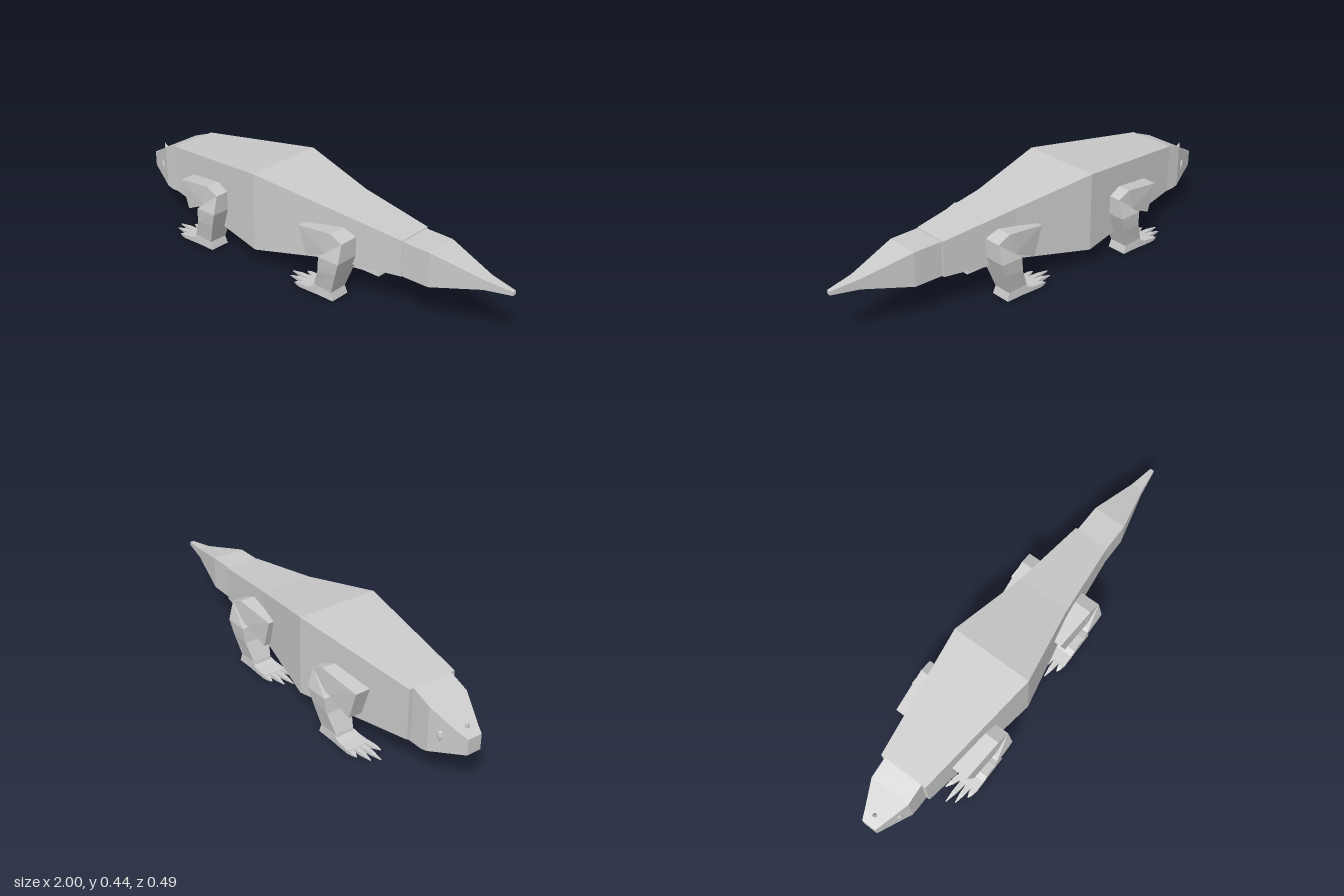
import * as THREE from 'three';

const material = new THREE.MeshStandardMaterial({ color: 0xcccccc, flatShading: true });

// Skin a list of four-cornered rings and cap both ends, faces outward
function loft(name, rings) {
  const tris = [];
  const quad = (a, b, c, d) => tris.push([a, b, c], [a, c, d]);
  for (let i = 0; i < rings.length - 1; i++) {
    for (let k = 0; k < 4; k++) {
      const n = (k + 1) % 4;
      quad(rings[i][k], rings[i][n], rings[i + 1][n], rings[i + 1][k]);
    }
  }
  quad(...[...rings[0]].reverse());
  quad(...rings[rings.length - 1]);
  // Signed volume tells whether the winding must be turned round
  let volume = 0;
  for (const [a, b, c] of tris) {
    volume += a.clone().sub(rings[0][0]).dot(
      b.clone().sub(rings[0][0]).cross(c.clone().sub(rings[0][0])));
  }
  if (volume < 0) tris.forEach((t) => t.reverse());
  const geometry = new THREE.BufferGeometry().setFromPoints(tris.flat());
  geometry.computeVertexNormals();
  const mesh = new THREE.Mesh(geometry, material);
  mesh.name = name;
  return mesh;
}

// Upright rectangular section: x, bottom, top, half width
const section = ([x, lo, hi, w, z = 0]) => [
  new THREE.Vector3(x, lo, z - w), new THREE.Vector3(x, hi, z - w),
  new THREE.Vector3(x, hi, z + w), new THREE.Vector3(x, lo, z + w),
];

// Limb section: back/top point, front/bottom point, inner and outer z
const slab = (ax, ay, bx, by, zi, zo) => [
  new THREE.Vector3(ax, ay, zi), new THREE.Vector3(ax, ay, zo),
  new THREE.Vector3(bx, by, zo), new THREE.Vector3(bx, by, zi),
];

function makeLeg(name, dx, dz, side) {
  const leg = new THREE.Group();
  leg.name = name;
  const place = (rings) => rings.map((r) => r.map(
    (p) => new THREE.Vector3(p.x + dx, p.y, (p.z + dz) * side)));
  const add = (part, rings) => leg.add(loft(part, place(rings)));

  add('upperLeg', [
    slab(-0.62, 0.28, -0.58, 0.15, 0.13, 0.205),
    slab(-0.43, 0.31, -0.46, 0.21, 0.14, 0.222),
    slab(-0.37, 0.285, -0.46, 0.21, 0.13, 0.225),
    slab(-0.37, 0.2, -0.475, 0.2, 0.12, 0.247),
  ]);
  add('lowerLeg', [
    slab(-0.37, 0.2, -0.475, 0.2, 0.12, 0.247),
    slab(-0.39, 0.14, -0.485, 0.13, 0.12, 0.24),
    slab(-0.425, 0.04, -0.52, 0.045, 0.135, 0.222),
    slab(-0.415, 0.004, -0.53, 0.004, 0.13, 0.225),
  ]);
  add('foot', [
    section([-0.5, 0.003, 0.04, 0.046, 0.178]),
    section([-0.55, 0.002, 0.022, 0.052, 0.174]),
    section([-0.605, 0, 0.016, 0.055, 0.17]),
  ]);
  // Four splayed, pointed toes
  const toes = [[0.128, -0.66, 0.105], [0.156, -0.71, 0.145],
    [0.184, -0.69, 0.18], [0.212, -0.64, 0.21]];
  for (const [z, tipX, tipZ] of toes) {
    add('toe', [
      section([-0.59, 0, 0.016, 0.014, z]),
      section([(tipX - 0.6) / 2, 0, 0.012, 0.01, (z + tipZ) / 2]),
      section([tipX, 0, 0.003, 0.002, tipZ]),
    ]);
  }
  return leg;
}

export function createModel() {
  const model = new THREE.Group();
  model.name = 'lizard';

  model.add(loft('body', [
    [-0.76, 0.145, 0.37, 0.112], [-0.18, 0.078, 0.437, 0.188],
    [0.18, 0.143, 0.375, 0.12], [0.53, 0.175, 0.334, 0.082],
  ].map(section)));

  model.add(loft('tail', [
    [0.52, 0.177, 0.331, 0.077, 0.004], [0.66, 0.178, 0.33, 0.076, 0.005],
    [0.88, 0.233, 0.277, 0.027, 0.006], [1.0, 0.247, 0.263, 0.009, 0.007],
  ].map(section)));

  model.add(loft('head', [
    [-1.0, 0.18, 0.25, 0.033], [-0.96, 0.169, 0.268, 0.049],
    [-0.85, 0.138, 0.335, 0.093], [-0.82, 0.13, 0.347, 0.093],
    [-0.76, 0.13, 0.37, 0.093], [-0.735, 0.13, 0.365, 0.093],
  ].map(section)));

  // Eyes on the sides of the head
  for (const side of [1, -1]) {
    const eye = new THREE.Mesh(new THREE.SphereGeometry(0.02, 6, 4), material);
    eye.name = side > 0 ? 'leftEye' : 'rightEye';
    eye.scale.set(0.75, 1.25, 0.5);
    eye.position.set(-0.895, 0.225, 0.073 * side);
    eye.rotation.y = -0.4 * side;
    model.add(eye);
  }

  // Small bump on top of the snout
  const bump = new THREE.Mesh(new THREE.ConeGeometry(0.016, 0.04, 6), material);
  bump.name = 'snoutBump';
  bump.position.set(-0.957, 0.277, 0);
  bump.rotation.z = 0.45;
  model.add(bump);

  model.add(
    makeLeg('leftFrontLeg', 0, 0, 1),
    makeLeg('rightFrontLeg', 0.055, 0, -1),
    makeLeg('leftHindLeg', 0.685, -0.03, 1),
    makeLeg('rightHindLeg', 0.7, -0.042, -1),
  );
  return model;
}
